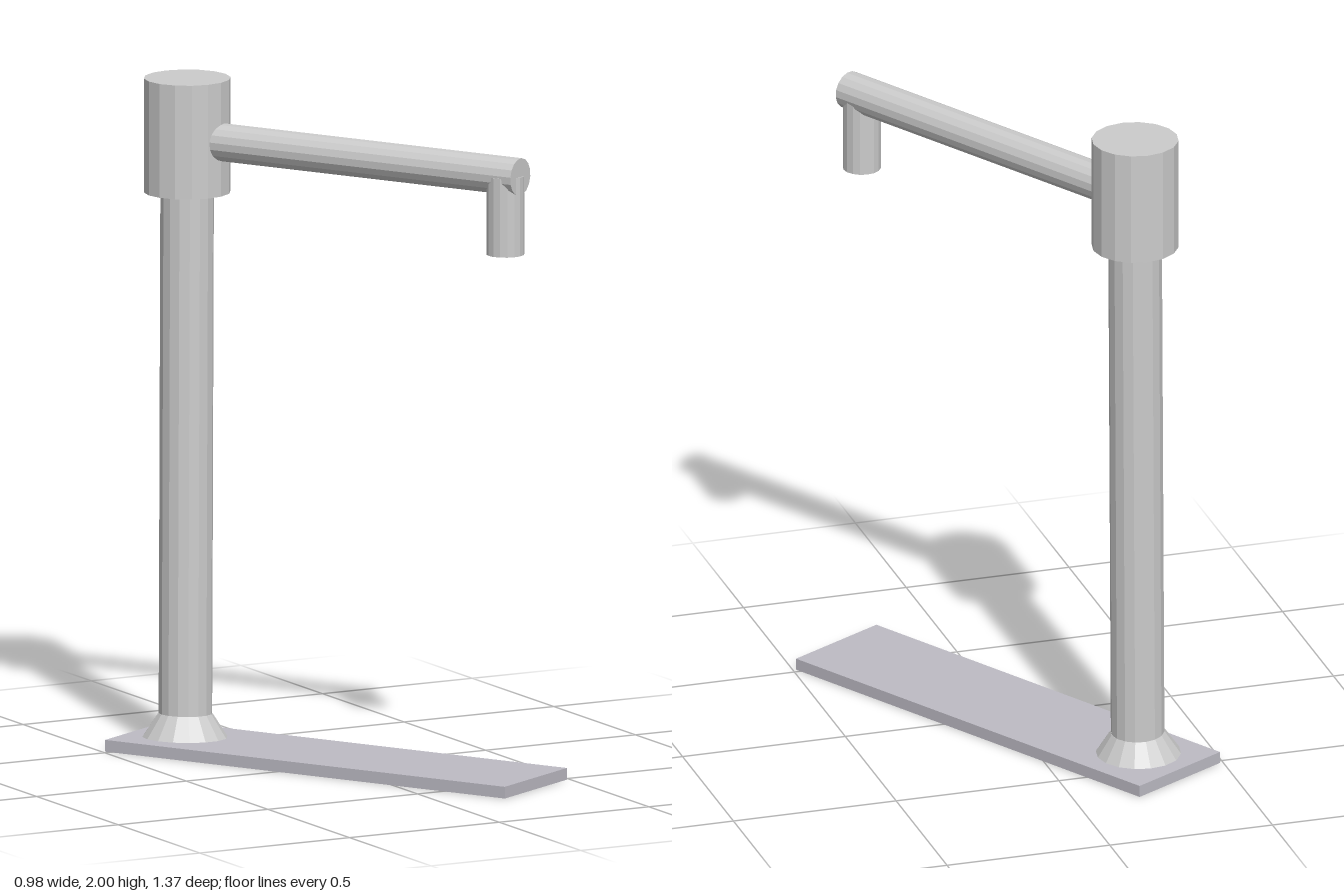
import * as THREE from 'three';

const SIDES = 16;
const grey = new THREE.MeshStandardMaterial({ color: 0xcccccc, flatShading: true });
const plateGrey = new THREE.MeshStandardMaterial({ color: 0xbdbbc4, flatShading: true });

// Faceted rod running from point a to point b
function rod(name, a, b, radiusA, radiusB = radiusA) {
  const start = new THREE.Vector3(...a);
  const end = new THREE.Vector3(...b);
  const axis = end.clone().sub(start);
  const mesh = new THREE.Mesh(
    new THREE.CylinderGeometry(radiusB, radiusA, axis.length(), SIDES), grey);
  mesh.name = name;
  mesh.position.copy(start).add(end).multiplyScalar(0.5);
  mesh.quaternion.setFromUnitVectors(new THREE.Vector3(0, 1, 0), axis.normalize());
  return mesh;
}

export function createModel() {
  const model = new THREE.Group();
  model.name = 'spoutStand';

  // Flat base plate, turned about the vertical
  const plate = new THREE.Mesh(new THREE.BoxGeometry(0.345, 0.035, 1.38), plateGrey);
  plate.name = 'basePlate';
  plate.position.y = 0.0175;
  plate.rotation.y = Math.atan2(0.68, 1.2);
  model.add(plate);

  // Flared foot and slightly leaning column
  model.add(rod('foot', [-0.26, 0.035, -0.448], [-0.258, 0.105, -0.45], 0.126, 0.08));
  model.add(rod('column', [-0.258, 0.035, -0.45], [-0.247, 1.7, -0.459], 0.079));

  // Head on top of the column
  model.add(rod('head', [-0.247, 1.66, -0.459], [-0.247, 2, -0.459], 0.128));

  // Arm reaching out over the plate, with a spout hanging from its end
  model.add(rod('arm', [-0.247, 1.82, -0.454], [0.32, 1.82, 0.5425], 0.056));
  model.add(rod('spout', [0.293, 1.585, 0.5], [0.293, 1.82, 0.5], 0.056));

  return model;
}
